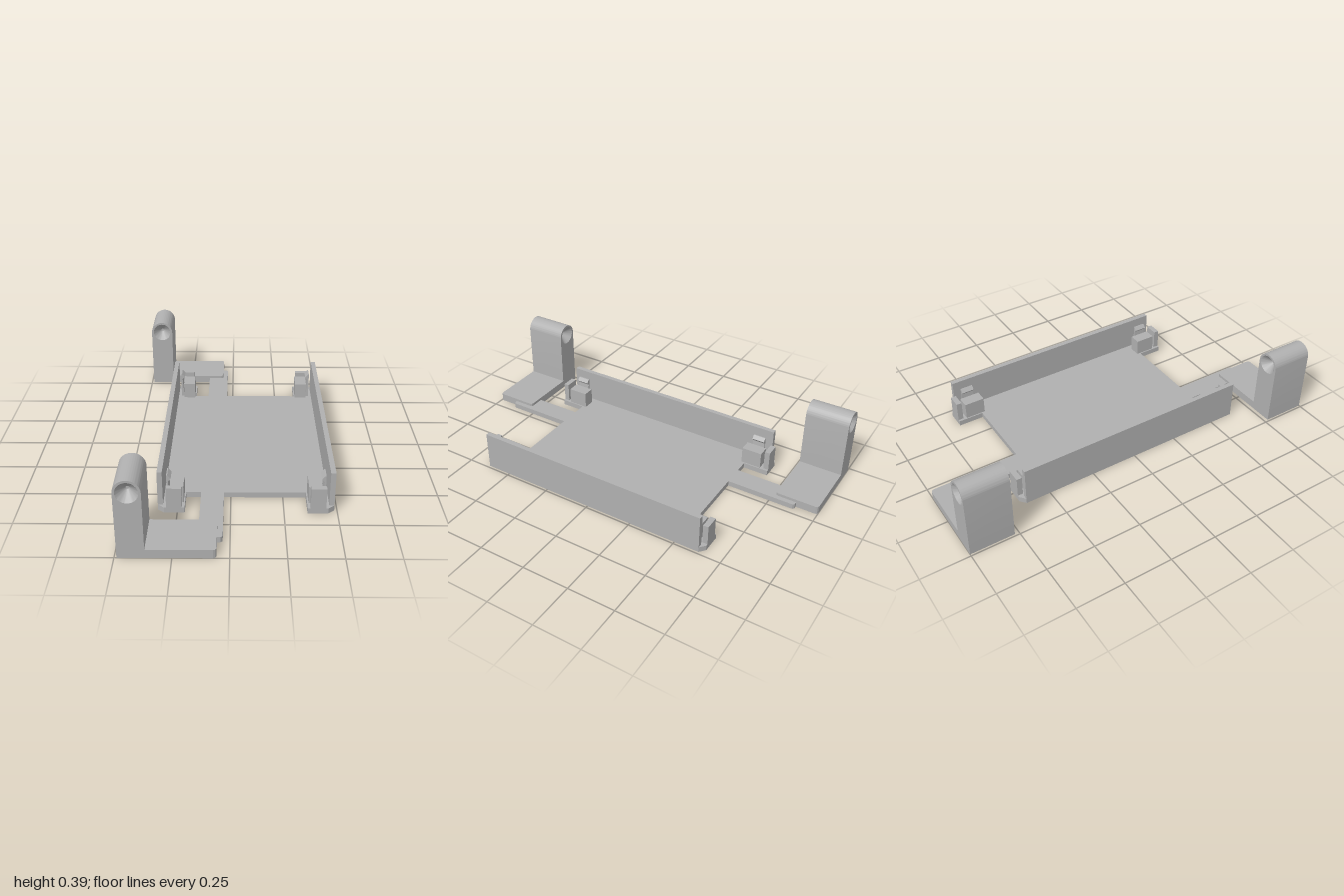
import * as THREE from 'three';
import { toCreasedNormals } from 'three/addons/utils/BufferGeometryUtils.js';

export function createModel() {
  const model = new THREE.Group();
  model.name = 'mountingTray';
  const grey = new THREE.MeshStandardMaterial({ color: 0xb0b0b0, side: THREE.DoubleSide });
  grey.name = 'grey plastic';
  const midX = 0.0725; // centre line of the tray

  const add = (parent, name, geometry, x = 0, y = 0, z = 0) => {
    const mesh = new THREE.Mesh(geometry, grey);
    mesh.name = name;
    mesh.position.set(x, y, z);
    parent.add(mesh);
    return mesh;
  };
  const outline = (pts) => new THREE.Shape(pts.map(([x, y]) => new THREE.Vector2(x, y)));
  // Box given by its limits on each axis
  const block = (parent, name, x0, x1, y0, y1, z0, z1) =>
    add(parent, name, new THREE.BoxGeometry(Math.abs(x1 - x0), y1 - y0, Math.abs(z1 - z0)),
      (x0 + x1) / 2, (y0 + y1) / 2, (z0 + z1) / 2);
  // Horizontal plate extruded upwards from a plan outline
  const plate = (parent, name, pts, height, z = 0) =>
    add(parent, name, new THREE.ExtrudeGeometry(outline(pts), { depth: height, bevelEnabled: false })
      .rotateX(-Math.PI / 2), 0, 0, z);

  // Base plate with four corner lugs and two connecting tabs
  const half = [
    [-0.342, 0.63], [-0.312, 0.655], [-0.215, 0.655], [-0.215, 0.522],
    [-0.143, 0.522], [-0.143, 0.885], [-0.042, 0.885], [-0.033, 0.876], [-0.033, 0.522],
    [0.36, 0.522], [0.36, 0.655], [0.457, 0.655], [0.487, 0.63],
  ];
  plate(model, 'basePlate', [...half, ...half.map(([x, z]) => [x, -z]).reverse()], 0.028);

  for (const sx of [-1, 1]) {
    const X = (d) => midX + sx * d; // distance out from the centre line
    block(model, sx < 0 ? 'rightWall' : 'leftWall', X(0.39), X(0.4145), 0, 0.203, -0.63, 0.63);

    // Corner clips: support block, end stop and snap hook
    for (const sz of [-1, 1]) {
      const clip = new THREE.Group();
      clip.name = 'cornerClip';
      model.add(clip);
      block(clip, 'supportBlock', X(0.294), X(0.357), 0.02, 0.115, sz * 0.503, sz * 0.61);
      block(clip, 'endStop', X(0.301), X(0.374), 0.02, 0.132, sz * 0.627, sz * 0.655);
      const hook = outline([
        [X(0.374), 0.02], [X(0.374), 0.166], [X(0.369), 0.166],
        [X(0.353), 0.149], [X(0.367), 0.134], [X(0.357), 0.02],
      ]);
      add(clip, 'snapHook', new THREE.ExtrudeGeometry(hook, { depth: 0.066, bevelEnabled: false }),
        0, 0, sz * 0.562 - 0.033);
    }
  }

  // Round-topped posts on foot plates, countersunk at both ends
  const px = -0.428, py = 0.33, r = 0.061, depth = 0.228;
  const postShape = new THREE.Shape();
  postShape.moveTo(px - r, 0).lineTo(px + r, 0).lineTo(px + r, py);
  postShape.absarc(px, py, r, 0, Math.PI, false);
  postShape.lineTo(px - r, 0);
  const hole = new THREE.Path();
  hole.absarc(px, py, 0.05, 0, Math.PI * 2, true);
  postShape.holes.push(hole);
  const postGeometry = toCreasedNormals(
    new THREE.ExtrudeGeometry(postShape, { depth, bevelEnabled: false, curveSegments: 32 }), 0.5);
  const coneProfile = [[0, -0.05], [0.008, -0.05], [0.008, -0.045], [0.05, 0]]
    .map(([x, y]) => new THREE.Vector2(x, y));
  const coneGeometry = toCreasedNormals(new THREE.LatheGeometry(coneProfile, 48), 0.5);

  for (const sz of [-1, 1]) {
    const arm = new THREE.Group();
    arm.name = sz > 0 ? 'frontArm' : 'backArm';
    arm.position.z = sz * (1 - depth / 2);
    model.add(arm);
    const h = depth / 2;
    plate(arm, 'footPlate', [
      [px, -h], [-0.072, -h], [-0.062, -h + 0.004], [-0.058, -h + 0.014],
      [-0.058, h - 0.014], [-0.062, h - 0.004], [-0.072, h], [px, h],
    ], 0.043);
    add(arm, 'post', postGeometry, px - px, 0, -h);
    for (const end of [-1, 1]) {
      add(arm, 'countersink', coneGeometry, px, py, end * h).rotation.x = end * Math.PI / 2;
    }
  }
  return model;
}
